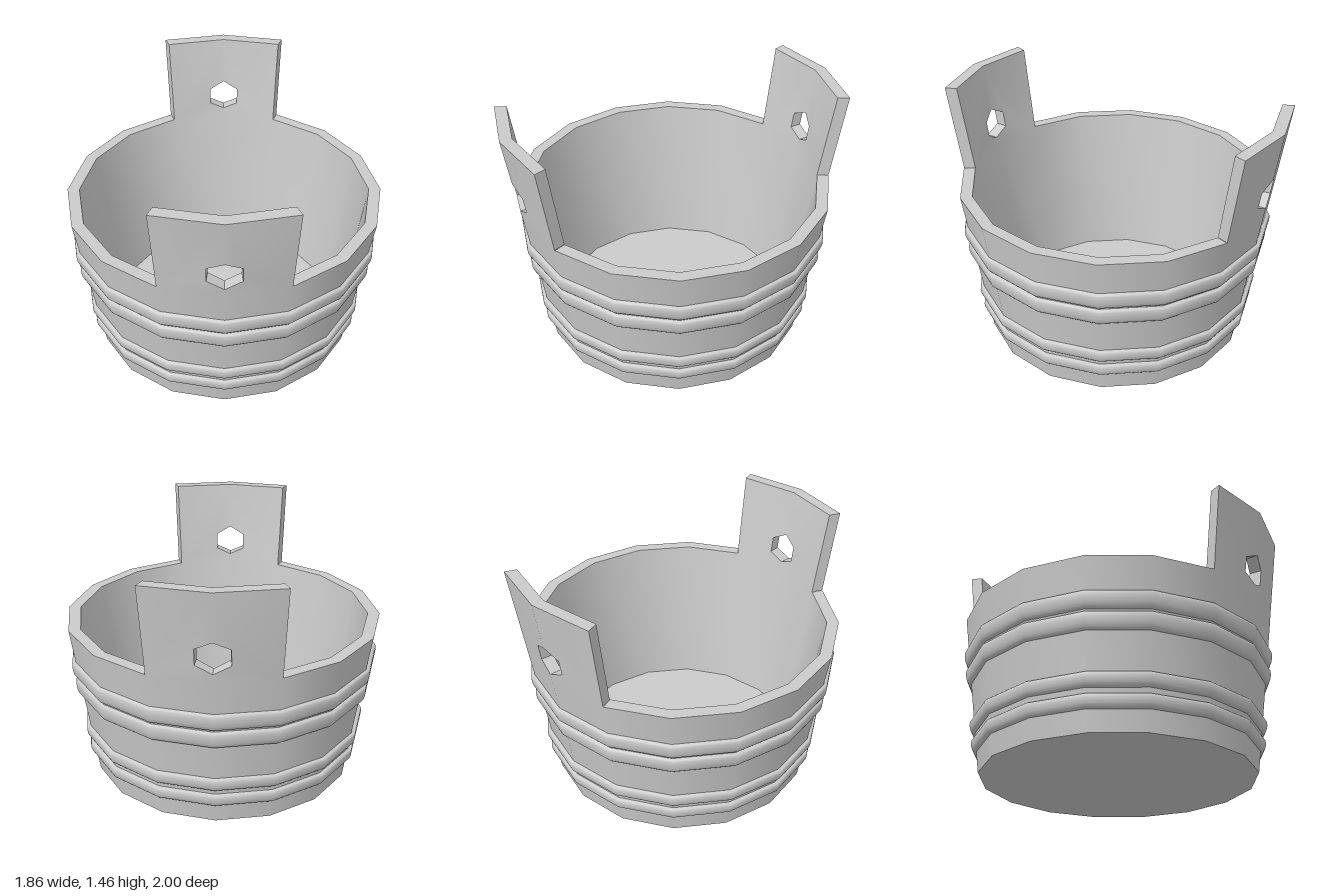
import * as THREE from 'three';
import { mergeGeometries, toCreasedNormals } from 'three/addons/utils/BufferGeometryUtils.js';

const SIDES = 16, RIM = 0.945, TOP = 1.46, WALL = 0.07;
const outer = (y) => 0.8 + 0.137 * y; // flared outside radius
const v2 = (x, y) => new THREE.Vector2(x, y);

function lathe(points) {
  return new THREE.LatheGeometry(points.map(([x, y]) => v2(x, y)), SIDES);
}

// One half of a lug, bent back from the middle ridge and notched for half the hole
function halfLug(side) {
  const shape = new THREE.Shape([
    [0, RIM], [0.354, RIM], [0.373, TOP], [0, TOP],
    [0, 1.18], [0.094, 1.133], [0.094, 1.038], [0, 0.993],
  ].map(([x, y]) => v2(x, y)));
  const geo = new THREE.ExtrudeGeometry(shape, { depth: 1, bevelEnabled: false });
  const p = geo.attributes.position;
  for (let i = 0; i < p.count; i++) {
    const y = p.getY(i);
    const r = outer(y) - WALL * (1 - p.getZ(i));
    const x = p.getX(i) * r / outer(y);
    p.setXYZ(i, side * x, y, r - x * Math.tan(Math.PI / SIDES));
  }
  if (side < 0) {
    // mirrored half: swap two corners of each triangle
    const a = new THREE.Vector3(), b = new THREE.Vector3();
    for (let i = 0; i < p.count; i += 3) {
      a.fromBufferAttribute(p, i);
      b.fromBufferAttribute(p, i + 1);
      p.setXYZ(i, b.x, b.y, b.z);
      p.setXYZ(i + 1, a.x, a.y, a.z);
    }
  }
  return geo;
}

// Drop empty triangles and the inner seams where lugs and wall join
function removeSeams(geo) {
  const p = geo.attributes.position, kept = [];
  const t = new THREE.Triangle();
  for (let i = 0; i < p.count; i += 3) {
    t.setFromAttributeAndIndices(p, i, i + 1, i + 2);
    const c = [t.a, t.b, t.c];
    const onRidge = c.every((q) => Math.abs(q.x) < 1e-4);
    const underLug = c.every((q) => Math.abs(q.y - RIM) < 1e-4) &&
      Math.abs(t.a.x + t.b.x + t.c.x) < 0.9;
    if (onRidge || underLug || t.getArea() < 1e-8) continue;
    c.forEach((q) => kept.push(q.x, q.y, q.z));
  }
  const out = new THREE.BufferGeometry();
  out.setAttribute('position', new THREE.Float32BufferAttribute(kept, 3));
  return out;
}

export function createModel() {
  const group = new THREE.Group();
  const material = new THREE.MeshStandardMaterial({ color: 0xcccccc });
  const add = (name, geo) => {
    const mesh = new THREE.Mesh(geo, material);
    mesh.name = name;
    group.add(mesh);
  };

  // Tub wall and floor, with a tall pierced lug at front and back
  const floor = 0.01;
  const tub = lathe([
    [0, 0], [outer(0), 0], [outer(RIM), RIM],
    [outer(RIM) - WALL, RIM], [outer(floor) - WALL, floor], [0, floor],
  ]).toNonIndexed();
  const parts = [tub];
  for (const turn of [0, Math.PI]) {
    for (const side of [1, -1]) parts.push(halfLug(side).rotateY(turn));
  }
  add('tubWithLugs', toCreasedNormals(removeSeams(mergeGeometries(parts)), 0.6));

  // Rounded hoops in two pairs: bottom, top
  const hoops = [[0.12, 0.197], [0.23, 0.31], [0.53, 0.63], [0.645, 0.745]];
  hoops.forEach(([y0, y1], i) => {
    const mid = (y0 + y1) / 2, half = (y1 - y0) / 2;
    const profile = [];
    for (let k = 0; k <= 8; k++) {
      const a = -Math.PI / 2 + (k / 8) * Math.PI;
      const y = mid + half * Math.sin(a);
      profile.push([outer(y) - 0.003 + 0.03 * Math.sqrt(Math.max(0, Math.cos(a))), y]);
    }
    add('hoop' + (i + 1), lathe(profile));
  });

  return group;
}
